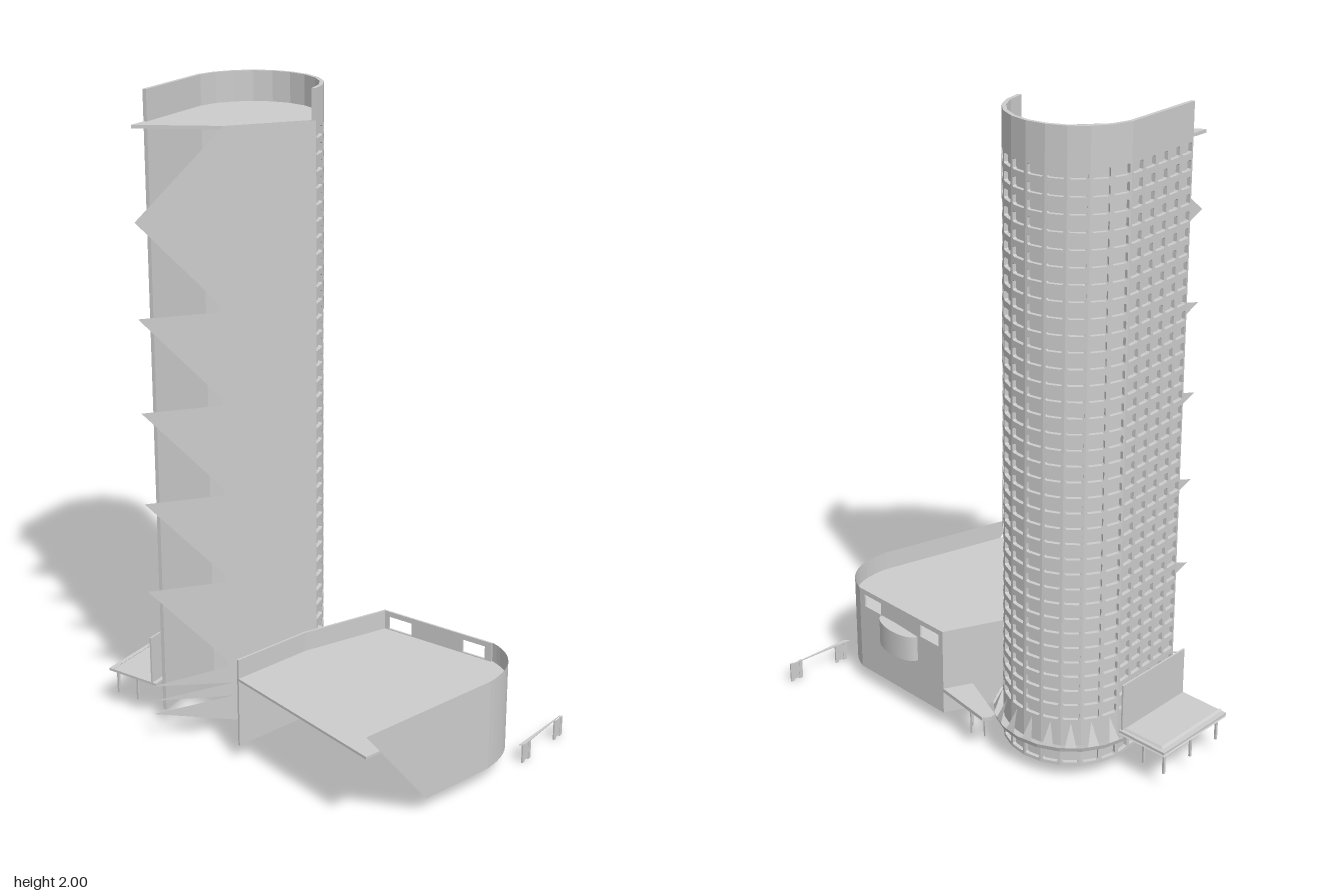
import * as THREE from 'three';

const concrete = new THREE.MeshStandardMaterial({ color: 0xcccccc, side: THREE.DoubleSide });
concrete.name = 'light grey';

export function createModel() {
  const model = new THREE.Group();
  model.name = 'towerAndHall';

  const add = (name, geo, parent = model) => {
    const m = new THREE.Mesh(geo, concrete);
    m.name = name;
    parent.add(m);
    return m;
  };
  const group = (name) => {
    const g = new THREE.Group();
    g.name = name;
    model.add(g);
    return g;
  };
  const poly = (pts) => new THREE.Shape(pts.map(([x, y]) => new THREE.Vector2(x, y)));
  const rect = (x0, y0, x1, y1) => poly([[x0, y0], [x1, y0], [x1, y1], [x0, y1]]);

  // Upright panel along the plan line a->b; its shape is (distance, height)
  const panel = (a, b, shape, depth) => {
    const dir = new THREE.Vector3(b[0] - a[0], 0, b[1] - a[1]).normalize();
    const up = new THREE.Vector3(0, 1, 0);
    const normal = new THREE.Vector3().crossVectors(dir, up);
    const geo = depth ? new THREE.ExtrudeGeometry(shape, { depth, bevelEnabled: false }) : new THREE.ShapeGeometry(shape);
    geo.applyMatrix4(new THREE.Matrix4().makeBasis(dir, up, normal).setPosition(a[0], 0, a[1]));
    return geo;
  };
  const span = (a, b) => Math.hypot(b[0] - a[0], b[1] - a[1]);

  // Flat-shaded strip between two rows of points
  const strip = (p, q) => {
    const v = [];
    for (let i = 0; i < p.length - 1; i++) {
      v.push(...p[i], ...q[i], ...p[i + 1], ...p[i + 1], ...q[i], ...q[i + 1]);
    }
    const geo = new THREE.BufferGeometry();
    geo.setAttribute('position', new THREE.Float32BufferAttribute(v, 3));
    geo.computeVertexNormals();
    return geo;
  };
  const atY = (pts, y) => pts.map(([x, z]) => [x, y, z]);

  // Horizontal slab with its plan in (x, z)
  const slab = (pts, y, t) => {
    const geo = new THREE.ExtrudeGeometry(poly(pts.map(([x, z]) => [x, -z])), { depth: t, bevelEnabled: false });
    geo.rotateX(-Math.PI / 2);
    geo.translate(0, y, 0);
    return geo;
  };
  const post = (name, x, z, y0, y1, w, parent, d = w) => {
    add(name, new THREE.BoxGeometry(w, y1 - y0, d), parent).position.set(x, (y0 + y1) / 2, z);
  };

  // ---- Tower: straight back wall and half-round wall of window bays
  const cx = -0.04, cz = -0.235, R = 0.207;
  const arcPoint = (t, r) => {
    const a = THREE.MathUtils.degToRad(-90 + 169 * t);
    return [cx + r * Math.cos(a), cz + r * Math.sin(a)];
  };
  const path = [];
  for (let i = 0; i < 5; i++) path.push([-0.31 + 0.054 * i, -0.4 - 0.0084 * i]);
  for (let i = 0; i <= 10; i++) path.push(arcPoint(i / 10, R));

  const tower = group('tower');
  const addWindow = (shape, w, y0, y1) => {
    const x0 = 0.006, x1 = w - 0.006, c = 0.004;
    shape.holes.push(new THREE.Path([
      [x0 + c, y0], [x1 - c, y0], [x1, y0 + c], [x1, y1 - c],
      [x1 - c, y1], [x0 + c, y1], [x0, y1 - c], [x0, y0 + c],
    ].map(([x, y]) => new THREE.Vector2(x, y))));
  };
  for (let i = 0; i < path.length - 1; i++) {
    const a = path[i], b = path[i + 1], w = span(a, b);
    const bay = rect(0, 0.05, w, 2);
    for (let r = 0; r < 35; r++) addWindow(bay, w, 1.858 - r * 0.0485, 1.888 - r * 0.0485);
    addWindow(bay, w, 0.06, 0.11);
    add('windowBay', panel(a, b, bay, 0.012), tower);
    const glass = panel(a, b, rect(0, 0.05, w, 1.9));
    const n = [-(b[1] - a[1]) / w * 0.013, (b[0] - a[0]) / w * 0.013];
    glass.translate(n[0], 0, n[1]);
    add('windowPane', glass, tower);
  }

  // Roof with a pointed overhang
  const roof = [[-0.37, -0.39]];
  for (let i = 0; i <= 10; i++) roof.push(arcPoint(i / 10, R - 0.012));
  roof.push([-0.22, -0.18]);
  add('towerRoof', slab(roof, 1.9, 0.01), tower);

  // Saw-toothed front plate, built from large teeth and three small spikes
  const A = [0, -0.03], B = [-0.22, -0.18];
  const k = span(A, B) / 0.22;
  const teeth = [[0, 0.05], [0, 1.91], [0.22, 1.91], [0.434, 1.655]];
  for (let i = 0; i < 4; i++) {
    const y = 1.375 - i * 0.2835;
    teeth.push([0.22, y], [0.434, y]);
  }
  teeth.push([0.22, 0.24], [0.43, 0.205], [0.22, 0.18], [0.43, 0.155], [0.22, 0.135], [0.43, 0.11], [0.22, 0.05]);
  add('sawtoothPlate', panel(A, B, poly(teeth.map(([x, y]) => [x * k, y]))), tower);

  // Flared skirt with triangular braces around the foot
  const ringAt = (r, y) => Array.from({ length: 11 }, (_, i) => {
    const [x, z] = arcPoint(i / 10, r);
    return [x, y, z];
  });
  add('skirt', strip(ringAt(R, 0.12), ringAt(0.237, 0.13)), tower);
  add('skirtLip', strip(ringAt(0.237, 0.13), ringAt(0.232, 0.115)), tower);
  for (let i = 0; i < 10; i++) {
    const p = (t, r, y) => {
      const [x, z] = arcPoint(t, r);
      return [x, y, z];
    };
    const t = (i + 0.5) / 10, top = p(t, R, 0.2);
    add('skirtBrace', strip([top, top], [p(t - 0.025, 0.235, 0.13), p(t + 0.025, 0.235, 0.13)]), tower);
  }

  // ---- Hall: open underneath, with a raised rim around the roof
  const hall = group('hall');
  const H0 = 0.055, H1 = 0.345;
  const curve = new THREE.QuadraticBezierCurve(
    new THREE.Vector2(0.03, 0.6), new THREE.Vector2(0.2, 0.605), new THREE.Vector2(0.235, 0.467));
  const bend = curve.getPoints(14).map((p) => [p.x, p.y]);
  const NW = [-0.335, -0.063], N = [-0.07, -0.023], NE = [0.21, 0.076], SE = [0.235, 0.467], SW = [-0.452, 0.515];
  add('frontWall', strip(atY([SW, ...bend], H1), atY([[-0.22, 0.556], ...bend], H0)), hall);
  add('backWall', panel(NW, N, rect(0, H0, span(NW, N), H1), 0.007), hall);
  add('backWall', panel(N, NE, rect(0, H0, span(N, NE), H1), 0.007), hall);
  add('hallRoof', slab([NW, N, NE, ...bend.slice().reverse(), SW], 0.275, 0.008), hall);

  // Side wall with two see-through openings above the roof
  const side = rect(0, H0, span(NE, SE), H1);
  for (const [z0, z1] of [[0.095, 0.18], [0.365, 0.444]]) {
    const s0 = z0 - NE[1], s1 = z1 - NE[1];
    side.holes.push(new THREE.Path([[s0, 0.286], [s1, 0.286], [s1, 0.328], [s0, 0.328]].map(([x, y]) => new THREE.Vector2(x, y))));
  }
  add('sideWall', panel(NE, SE, side, 0.006), hall);

  // Rounded balcony
  const balcony = add('balcony', new THREE.CylinderGeometry(0.09, 0.09, 0.085, 16, 1, false, 0, Math.PI), hall);
  balcony.scale.x = 0.46;
  balcony.position.set(0.224, 0.243, 0.274);

  // ---- Tapered side canopy between hall and tower
  const sideCanopy = group('sideCanopy');
  add('canopySlab', slab([[0.12, 0.042], [0.18, -0.136], [0.2, -0.142], [0.222, -0.126], [0.21, 0.076]], 0.13, 0.012), sideCanopy);
  for (const [x, z] of [[0.19, -0.1], [0.21, -0.06], [0.18, -0.03]]) post('canopyPost', x, z, 0.05, 0.13, 0.005, sideCanopy);

  // ---- Rear entrance canopy, its upright panel and posts
  const rear = group('rearCanopy');
  const c = [[-0.351, -0.593], [-0.056, -0.623], [-0.04, -0.45], [-0.334, -0.404]];
  add('canopySlab', slab(c, 0.138, 0.008), rear);
  add('canopyRim', strip([[-0.351, 0.132, -0.593], [-0.056, 0.132, -0.623]], [[-0.349, 0.152, -0.57], [-0.07, 0.152, -0.6]]), rear);
  add('canopyRim', strip([[-0.056, 0.132, -0.623], [-0.04, 0.132, -0.45]], [[-0.07, 0.152, -0.6], [-0.055, 0.152, -0.45]]), rear);
  add('entrancePanel', panel([-0.335, -0.425], [-0.045, -0.457], rect(0, 0.138, 0.29, 0.3), 0.006), rear);
  for (const t of [0.08, 0.5, 0.92]) {
    post('canopyPost', -0.35 + 0.295 * t, -0.575 - 0.03 * t, 0.055, 0.138, 0.007, rear);
    post('canopyPost', -0.345 + 0.295 * t, -0.495 - 0.03 * t, 0.055, 0.138, 0.007, rear);
  }

  // ---- Small free-standing rail in front
  const rail = group('frontRail');
  add('railTop', slab([[0.185, 0.607], [0.417, 0.607], [0.2, 0.62]], 0.064, 0.003), rail);
  for (const x of [0.203, 0.235, 0.38, 0.413]) post('railPost', x, 0.612, 0, 0.066, 0.012, rail, 0.005);
  for (const x of [0.219, 0.397]) post('railInfill', x, 0.612, 0.005, 0.064, 0.03, rail, 0.003);

  return model;
}
